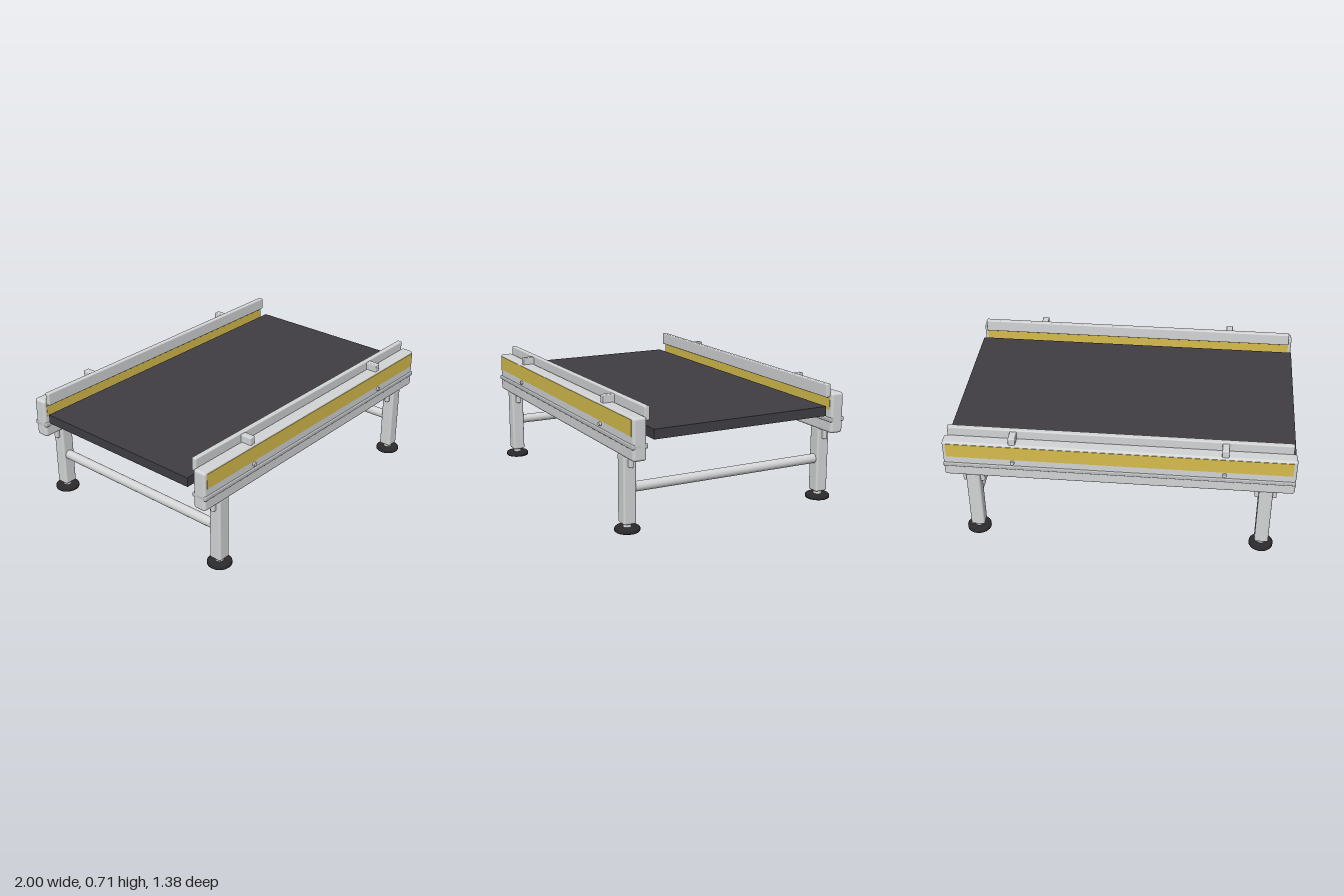
import * as THREE from 'three';
import { RoundedBoxGeometry } from 'three/addons/geometries/RoundedBoxGeometry.js';

export function createModel() {
  const model = new THREE.Group();
  model.name = 'conveyorSection';

  const mat = (name, color) => {
    const m = new THREE.MeshStandardMaterial({ color });
    m.name = name;
    return m;
  };
  const metal = mat('paleMetal', 0xd2d4d5);
  const trim = mat('greyTrim', 0xbcbec0);
  const yellow = mat('safetyYellow', 0xd6bc4c);
  const rubber = mat('beltRubber', 0x3f3d43);
  const black = mat('footRubber', 0x2b2b2e);

  const add = (name, geometry, material, x, y, z, parent = model) => {
    const mesh = new THREE.Mesh(geometry, material);
    mesh.name = name;
    mesh.position.set(x, y, z);
    parent.add(mesh);
    return mesh;
  };
  const rounded = (w, h, d, r) => new RoundedBoxGeometry(w, h, d, 3, r);

  // Lathe turned so that its axis lies along z
  const crosswise = (points) => new THREE.LatheGeometry(
    points.map(([r, y]) => new THREE.Vector2(r, y)), 28).rotateX(Math.PI / 2);

  // Belt slab
  add('belt', new THREE.BoxGeometry(2, 0.055, 1.085), rubber, 0, 0.5625, 0);

  // Return rollers with softened ends
  const rollerGeo = crosswise([
    [0, -0.56], [0.028, -0.56], [0.036, -0.556], [0.04, -0.546],
    [0.04, 0.546], [0.036, 0.556], [0.028, 0.56], [0, 0.56],
  ]);
  for (const x of [-0.4, 0, 0.4]) add('returnRoller', rollerGeo, metal, x, 0.462, 0);

  // Side assemblies: s = 1 is the front, s = -1 the back
  const railGeo = rounded(2, 0.235, 0.08, 0.016);
  const ridgeGeo = rounded(2, 0.026, 0.094, 0.006);
  const stripeGeo = new THREE.BoxGeometry(1.96, 0.088, 0.006);
  const guideGeo = rounded(1.96, 0.077, 0.03, 0.007);
  const bracketGeo = rounded(0.04, 0.05, 0.072, 0.006);
  const boltGeo = new THREE.CylinderGeometry(0.012, 0.012, 0.1, 16).rotateX(Math.PI / 2);
  for (const s of [1, -1]) {
    const side = new THREE.Group();
    side.name = s > 0 ? 'frontSide' : 'backSide';
    model.add(side);
    add('sideRail', railGeo, metal, 0, 0.5425, s * 0.622, side);
    add('railRidge', ridgeGeo, trim, 0, 0.505, s * 0.622, side);
    add('outerStripe', stripeGeo, yellow, 0, 0.604, s * 0.661, side);
    add('innerStripe', stripeGeo, yellow, 0, 0.604, s * 0.583, side);
    add('guideRail', guideGeo, metal, 0, 0.6725, s * 0.571, side);
    for (const x of [-0.6, 0.6]) {
      add('guideBracket', bracketGeo, metal, x, 0.678, s * 0.617, side);
      add('bracketBolt', boltGeo, metal, x, 0.542, s * 0.624, side);
    }
  }

  // Legs, mounting tabs and levelling feet
  const legGeo = rounded(0.08, 0.39, 0.076, 0.012);
  const tabGeo = rounded(0.125, 0.08, 0.025, 0.008);
  const stemGeo = new THREE.CylinderGeometry(0.024, 0.024, 0.04, 20);
  const footGeo = new THREE.LatheGeometry(
    [[0, 0], [0.066, 0], [0.07, 0.004], [0.07, 0.019], [0.064, 0.025], [0, 0.026]]
      .map(([r, y]) => new THREE.Vector2(r, y)), 32);
  const barGeo = crosswise([[0.028, -0.6], [0.028, 0.6]]);
  for (const x of [-0.84, 0.84]) {
    for (const z of [-0.622, 0.622]) {
      const leg = new THREE.Group();
      leg.name = 'legAssembly';
      leg.position.set(x, 0, z);
      model.add(leg);
      add('leg', legGeo, metal, 0, 0.24, 0, leg);
      add('mountingTab', tabGeo, metal, 0, 0.405, 0, leg);
      add('footStem', stemGeo, metal, 0, 0.036, 0, leg);
      add('foot', footGeo, black, 0, 0, 0, leg);
    }
    // Tie bar between the two legs of this end
    add('crossBar', barGeo, metal, x, 0.242, 0);
  }
  return model;
}
